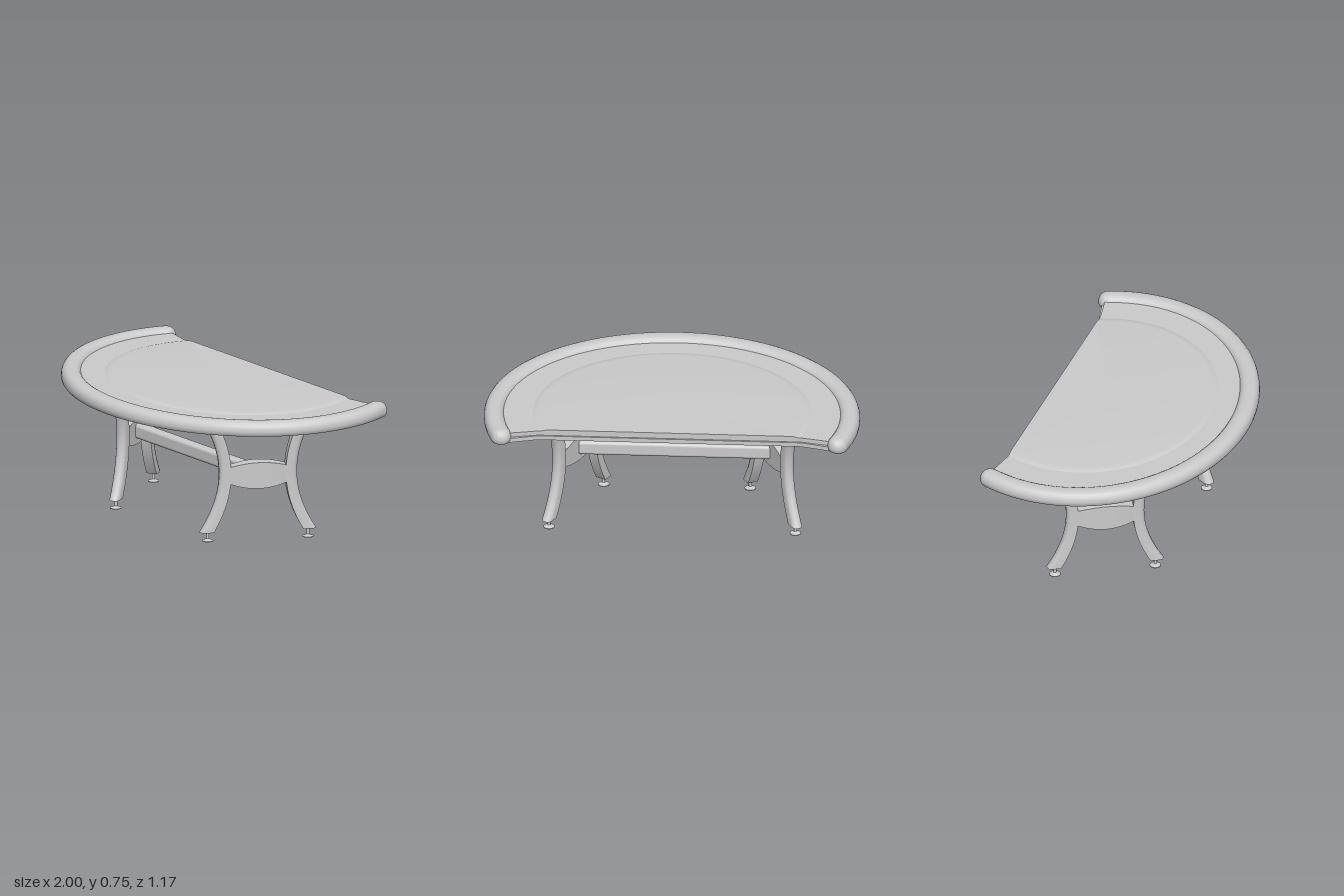
import * as THREE from 'three';
import { toCreasedNormals } from 'three/addons/utils/BufferGeometryUtils.js';
import { RoundedBoxGeometry } from 'three/addons/geometries/RoundedBoxGeometry.js';

const material = new THREE.MeshStandardMaterial({ color: 0xcccccc });

function add(parent, name, geometry, x = 0, y = 0, z = 0) {
  const mesh = new THREE.Mesh(geometry, material);
  mesh.name = name;
  mesh.position.set(x, y, z);
  parent.add(mesh);
  return mesh;
}

// Skin a list of equal-length closed rings of [x, y, z], capping both ends
function loft(rings, crease = 0.6) {
  const n = rings[0].length;
  const points = rings.flat();
  const index = [];
  for (let i = 0; i < rings.length - 1; i++) {
    for (let j = 0; j < n; j++) {
      const a = i * n + j, b = i * n + (j + 1) % n;
      index.push(a, b, b + n, a, b + n, a + n);
    }
  }
  [0, rings.length - 1].forEach((r, end) => {
    const centre = points.length;
    points.push([0, 1, 2].map(k => rings[r].reduce((s, p) => s + p[k], 0) / n));
    for (let j = 0; j < n; j++) {
      const a = r * n + j, b = r * n + (j + 1) % n;
      index.push(centre, end ? a : b, end ? b : a);
    }
  });
  const g = new THREE.BufferGeometry();
  g.setAttribute('position', new THREE.Float32BufferAttribute(points.flat(), 3));
  g.setIndex(index);
  return toCreasedNormals(g.toNonIndexed(), crease);
}

// The top is a part ellipse centred at z = Z0, cut off at the back
const Z0 = -0.28, RX = 0.945, RZ = 0.805, END = 1.893;

// Slab with the curved front edge and a notched straight back
function slab(y0, y1, grow) {
  const outline = [];
  for (let i = 0; i <= 72; i++) {
    const a = -END + 2 * END * i / 72;
    outline.push(new THREE.Vector2(RX * Math.sin(a), -(Z0 + RZ * Math.cos(a))));
  }
  for (const [x, z] of [[0.85, -0.54], [0.70, -0.51], [-0.70, -0.51], [-0.85, -0.54]]) {
    outline.push(new THREE.Vector2(x, -z + (Math.abs(x) > 0.8 ? grow * 2 : grow)));
  }
  const g = new THREE.ExtrudeGeometry(new THREE.Shape(outline), { depth: y1 - y0, bevelEnabled: false });
  g.rotateX(-Math.PI / 2).translate(0, y0, 0);
  return toCreasedNormals(g, 0.6);
}

function buildTop() {
  const top = new THREE.Group();
  top.name = 'tableTop';
  add(top, 'basePlate', slab(0.676, 0.70, 0.008));
  add(top, 'outerTrack', slab(0.69, 0.725, 0));

  // Slightly raised centre field with a soft edge
  const field = [[1, 0.72], [1, 0.725], [0.985, 0.7285], [0.965, 0.7315], [0.94, 0.733]].map(([s, y]) => {
    const ring = [];
    for (let j = 0; j < 96; j++) {
      const a = 2 * Math.PI * j / 96;
      ring.push([0.74 * s * Math.sin(a), y, Math.max(-0.51, Z0 + 0.645 * s * Math.cos(a))]);
    }
    return ring;
  });
  add(top, 'centreField', loft(field));

  // Padded rail swept around the curve, with rounded ends
  const half = [[0, 0.75], [0.014, 0.7495], [0.027, 0.747], [0.039, 0.74], [0.048, 0.729],
    [0.053, 0.716], [0.055, 0.70], [0.053, 0.685], [0.046, 0.675]];
  const profile = [...half, ...half.slice(1).reverse().map(([r, y]) => [-r, y])];
  const rings = [];
  for (let i = 0; i <= 96; i++) {
    const a = -END + 2 * END * i / 96;
    const n = new THREE.Vector2(Math.sin(a) / RX, Math.cos(a) / RZ).normalize();
    rings.push(profile.map(([r, y]) => [RX * Math.sin(a) + n.x * r, y, Z0 + RZ * Math.cos(a) + n.y * r]));
  }
  add(top, 'rail', loft(rings));
  const capProfile = [...half, [0, 0.675]].reverse().map(p => new THREE.Vector2(...p));
  const cap = toCreasedNormals(new THREE.LatheGeometry(capProfile, 32).toNonIndexed(), 0.6);
  for (const s of [-1, 1]) {
    add(top, 'railEnd', cap, s * RX * Math.sin(END), 0, Z0 + RZ * Math.cos(END));
  }
  return top;
}

// Bowed leg: flat inside, rounded outside, cut level at both ends
function legGeometry() {
  const section = [[-1, 1], [0.3, 1], [0.75, 0.8], [1, 0.35], [1, -0.35], [0.75, -0.8], [0.3, -1], [-1, -1]];
  const rings = [];
  for (let i = 0; i <= 20; i++) {
    const y = 0.05 + 0.63 * i / 20;
    const r = 0.178 + 0.97 * (y - 0.37) ** 2;
    const w = 0.031 * Math.hypot(1, 1.94 * (y - 0.37));
    rings.push(section.map(([x, z]) => [r + x * w, y, z * 0.029]));
  }
  return loft(rings, 0.85);
}

// Stretcher between a pair of legs: tall in the middle, bulging outwards
function stretcherGeometry() {
  const rings = [];
  for (let i = 0; i <= 20; i++) {
    const u = -1 + i / 10;
    const bulge = 1 - u * u;
    const h = 0.042 + 0.03 * bulge;
    const t = 0.025 + 0.022 * bulge;
    rings.push([[-h, -0.025], [h, -0.025], [h, t], [-h, t]].map(([y, z]) => [0.165 * u, 0.362 + y, z]));
  }
  return loft(rings);
}

function buildLegPair(side) {
  const pair = new THREE.Group();
  pair.name = side > 0 ? 'leftLegPair' : 'rightLegPair';
  pair.position.set(side * 0.5225, 0, -0.025);
  pair.rotation.y = side * 1.057;
  const footProfile = [[0, 0], [0.03, 0], [0.03, 0.004], [0.012, 0.01], [0.008, 0.014], [0.008, 0.055]]
    .map(p => new THREE.Vector2(...p));
  const foot = toCreasedNormals(new THREE.LatheGeometry(footProfile, 24).toNonIndexed(), 0.5);
  const leg = legGeometry();
  for (const turn of [0, Math.PI]) {
    const unit = new THREE.Group();
    unit.name = 'legWithFoot';
    unit.rotation.y = turn;
    add(unit, 'leg', leg);
    add(unit, 'levellingFoot', foot, 0.27, 0, 0);
    pair.add(unit);
  }
  add(pair, 'stretcher', stretcherGeometry());
  return pair;
}

export function createModel() {
  const table = new THREE.Group();
  table.name = 'table';
  table.add(buildTop(), buildLegPair(1), buildLegPair(-1));
  add(table, 'crossBar', new RoundedBoxGeometry(1.03, 0.08, 0.06, 4, 0.018), 0, 0.365, -0.025);
  return table;
}
